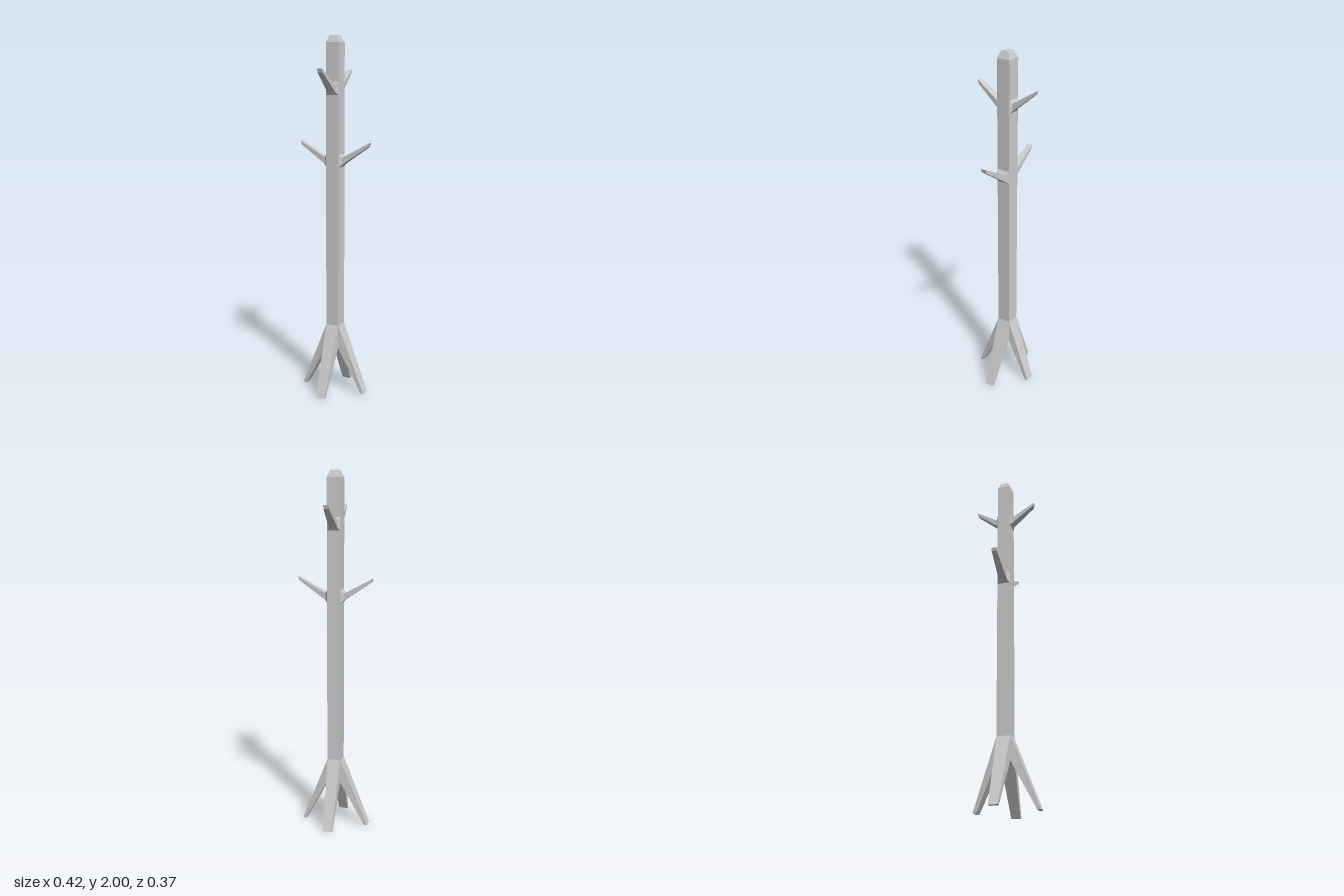
import * as THREE from 'three';

// Skin a run of four-cornered rings (counter-clockwise seen from the far end) and cap both ends.
function loft(rings) {
  const pos = [];
  const quad = (a, b, c, d) => pos.push(...a, ...b, ...c, ...a, ...c, ...d);
  for (let r = 0; r < rings.length - 1; r++) {
    const p = rings[r], q = rings[r + 1];
    for (let i = 0; i < 4; i++) {
      const j = (i + 1) % 4;
      quad(p[i], p[j], q[j], q[i]);
    }
  }
  const first = rings[0], last = rings[rings.length - 1];
  quad(first[3], first[2], first[1], first[0]);
  quad(last[0], last[1], last[2], last[3]);
  const g = new THREE.BufferGeometry();
  g.setAttribute('position', new THREE.Float32BufferAttribute(pos, 3));
  g.computeVertexNormals();
  return g;
}

// Ring of a limb growing along +z: lower edge at (y0, z0), upper edge at (y1, z1), half width w.
const limbRing = (w, y0, z0, y1, z1) => [[-w, y0, z0], [w, y0, z0], [w, y1, z1], [-w, y1, z1]];
// Horizontal square ring of the post.
const postRing = (w, y) => [[-w, y, w], [w, y, w], [w, y, -w], [-w, y, -w]];

export function createModel() {
  const model = new THREE.Group();
  model.name = 'coatStand';
  const grey = new THREE.MeshStandardMaterial({ color: 0xcccccc, flatShading: true });
  grey.name = 'light grey';

  const stand = new THREE.Group();
  stand.name = 'stand';
  stand.position.set(-0.002, 0, -0.008);
  model.add(stand);

  const add = (name, geometry, angle = 0) => {
    const mesh = new THREE.Mesh(geometry, grey);
    mesh.name = name;
    mesh.rotation.y = angle;
    stand.add(mesh);
  };

  const H = 0.038; // half width of the post

  // Square post with a chamfered top
  add('post', loft([postRing(H, 0.255), postRing(H, 1.962), postRing(0.022, 2)]));

  // Each side carries one splayed leg and one upturned hook
  const sides = [
    { name: 'front', angle: 0, foot: 0.191, hookY: 1.685, collar: 0.047, tip: 0.18 },
    { name: 'left', angle: Math.PI / 2, foot: 0.191, hookY: 1.293, collar: 0.052, tip: 0.21 },
    { name: 'back', angle: Math.PI, foot: 0.168, hookY: 1.685, collar: 0.047, tip: 0.177 },
    { name: 'right', angle: -Math.PI / 2, foot: 0.197, hookY: 1.293, collar: 0.052, tip: 0.21 },
  ];
  for (const s of sides) {
    add(s.name + 'Leg', loft([
      limbRing(H, 0.255, H, 0.388, H),
      limbRing(0.025, 0, s.foot - 0.019, 0.002, s.foot),
    ]), s.angle);

    // Flared collar on the post, then the tapering peg
    const y = s.hookY;
    add(s.name + 'Hook', loft([
      limbRing(H, y, H, y + 0.07, H),
      limbRing(0.024, y + 0.014, s.collar, y + 0.052, s.collar),
      limbRing(0.015, y + 0.117, s.tip - 0.005, y + 0.137, s.tip),
    ]), s.angle);
  }
  return model;
}
